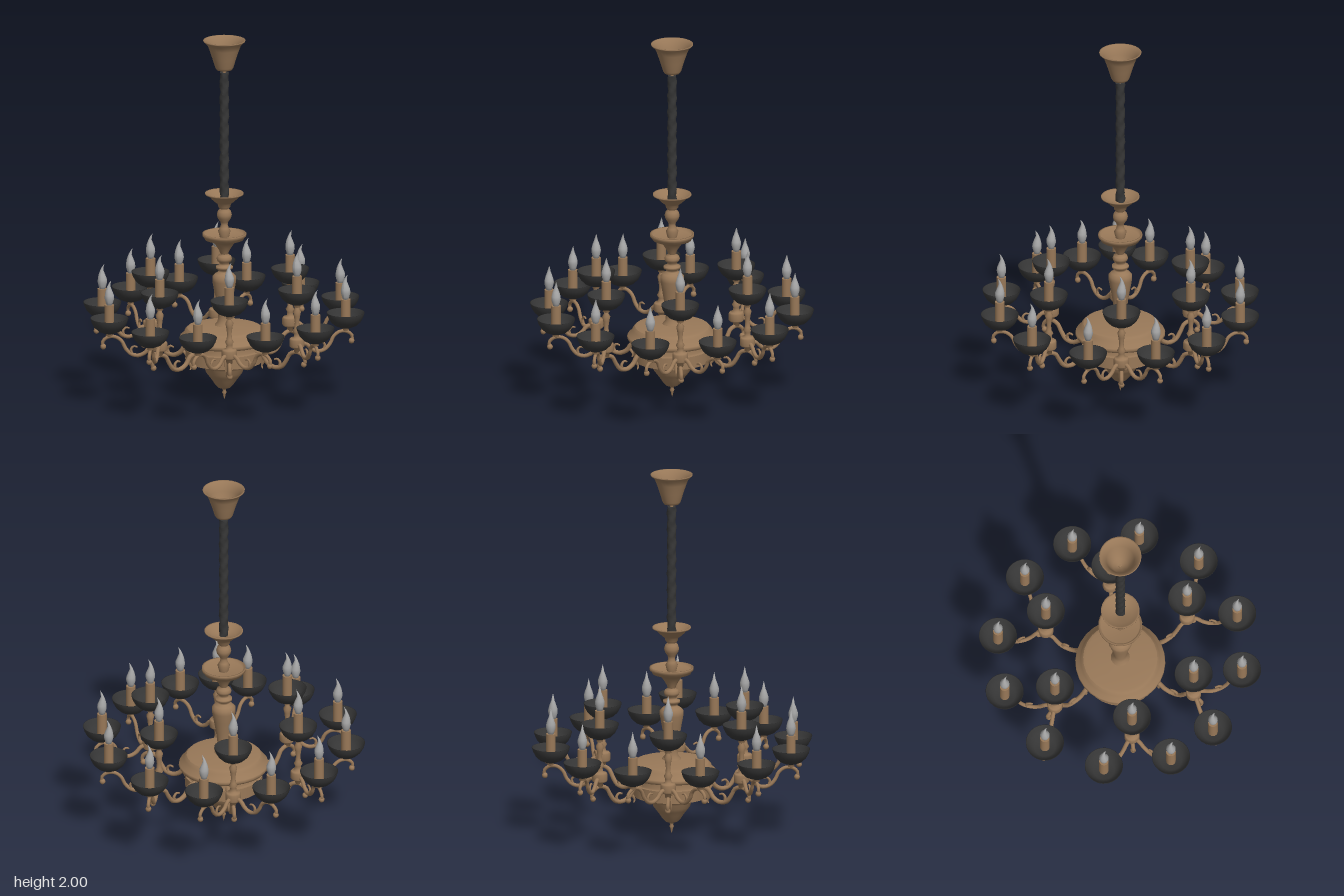
import * as THREE from 'three';

const bronze = new THREE.MeshStandardMaterial({ color: 0x987858, side: THREE.DoubleSide });
bronze.name = 'bronze';
const black = new THREE.MeshStandardMaterial({ color: 0x363636, side: THREE.DoubleSide });
black.name = 'black';
const glass = new THREE.MeshStandardMaterial({ color: 0xa6a6a6 });
glass.name = 'bulb glass';

function add(parent, name, geometry, material, x = 0, y = 0, z = 0) {
  const m = new THREE.Mesh(geometry, material);
  m.name = name;
  m.position.set(x, y, z);
  parent.add(m);
  return m;
}

// Turned part from [radius, height] pairs, listed bottom to top
const turned = (pts, sides = 20) =>
  new THREE.LatheGeometry(pts.map(p => new THREE.Vector2(p[0], p[1])), sides);

// Curved rod in the XY plane, thinning towards its end
function rod(pts, radius, endScale = 1) {
  const curve = new THREE.CatmullRomCurve3(pts.map(p => new THREE.Vector3(p[0], p[1], 0)));
  const n = 24, k = 8;
  const g = new THREE.TubeGeometry(curve, n, radius, k);
  const pos = g.attributes.position, v = new THREE.Vector3();
  for (let i = 0; i < pos.count; i++) {
    const t = Math.floor(i / (k + 1)) / n;
    const c = curve.getPointAt(t);
    v.fromBufferAttribute(pos, i).sub(c).multiplyScalar(1 + (endScale - 1) * t).add(c);
    pos.setXYZ(i, v.x, v.y, v.z);
  }
  return g;
}

// Flame bulb with a bent tip
function bulbGeometry() {
  const g = turned([[0, 0], [0.014, 0.001], [0.02, 0.018], [0.026, 0.04], [0.025, 0.058], [0.018, 0.082],
    [0.009, 0.106], [0.005, 0.125], [0, 0.143]], 14);
  const p = g.attributes.position;
  for (let i = 0; i < p.count; i++) {
    const t = Math.max(0, p.getY(i) - 0.07) / 0.073;
    p.setX(i, p.getX(i) + 0.012 * t * t - 0.006 * Math.sin(t * Math.PI));
  }
  g.computeVertexNormals();
  return g;
}

const cupGeo = turned([[0, 0], [0.035, 0.001], [0.06, 0.012], [0.083, 0.034], [0.096, 0.058], [0.103, 0.082],
  [0.1, 0.082], [0.092, 0.06], [0.078, 0.038], [0.057, 0.019], [0, 0.009]], 24);
const candleGeo = new THREE.CylinderGeometry(0.026, 0.026, 0.148, 16);
const neckGeo = turned([[0.01, -0.02], [0.02, -0.014], [0.013, -0.007], [0.03, 0.002]], 12);
const bulbGeo = bulbGeometry();

// Cup, candle and bulb; origin under the cup
function candleLight(parent, x, y, z, turn) {
  const g = new THREE.Group();
  g.name = 'candleLight';
  g.position.set(x, y, z);
  add(g, 'cupNeck', neckGeo, bronze);
  add(g, 'dripCup', cupGeo, black);
  add(g, 'candle', candleGeo, bronze, 0, 0.082, 0);
  add(g, 'flameBulb', bulbGeo, glass, 0, 0.152, 0).rotation.y = turn;
  parent.add(g);
}

const REACH = 0.437;
const mainArmGeo = rod([[0.18, 0.29], [0.23, 0.275], [0.26, 0.235], [0.3, 0.215], [0.345, 0.225], [0.375, 0.265],
  [0.395, 0.3], [0.435, 0.315], [0.47, 0.3], [0.487, 0.27], [0.478, 0.25]], 0.014, 0.75);
const mainCurlGeo = rod([[0.33, 0.22], [0.335, 0.245], [0.32, 0.262], [0.3, 0.258]], 0.01, 0.5);
const tailCurlGeo = rod([[0.25, 0.25], [0.235, 0.235], [0.225, 0.215], [0.23, 0.2]], 0.01, 0.4);
const branchGeo = rod([[0.02, 0.365], [0.055, 0.355], [0.08, 0.328], [0.115, 0.312], [0.155, 0.32], [0.185, 0.35],
  [0.205, 0.39], [0.24, 0.413], [0.28, 0.41], [0.308, 0.385], [0.307, 0.355]], 0.012, 0.75);
const branchCurlGeo = rod([[0.15, 0.318], [0.155, 0.345], [0.14, 0.362], [0.12, 0.358]], 0.009, 0.5);
const beadGeo = new THREE.SphereGeometry(0.016, 10, 8);
const hubGeo = turned([[0, 0.305], [0.016, 0.315], [0.018, 0.335], [0.036, 0.342], [0.042, 0.35], [0.042, 0.385],
  [0.036, 0.393], [0.018, 0.398], [0.016, 0.42], [0.024, 0.435], [0.015, 0.45], [0.012, 0.48], [0.017, 0.515],
  [0.022, 0.54], [0.013, 0.555], [0.012, 0.575]], 14);

function armUnit(angle) {
  const arm = new THREE.Group();
  arm.name = 'arm';
  add(arm, 'mainScroll', mainArmGeo, bronze);
  add(arm, 'mainScrollCurl', mainCurlGeo, bronze);
  add(arm, 'rootCurl', tailCurlGeo, bronze);
  add(arm, 'scrollEnd', beadGeo, bronze, 0.478, 0.25, 0);
  add(arm, 'hubStem', hubGeo, bronze, REACH, 0, 0);
  candleLight(arm, REACH, 0.582, 0, angle);
  // Two forked branches, each carrying a light
  for (const side of [-1, 1]) {
    const a = side * 0.735;
    const branch = new THREE.Group();
    branch.name = 'branch';
    branch.position.x = REACH;
    branch.rotation.y = a;
    add(branch, 'branchScroll', branchGeo, bronze);
    add(branch, 'branchCurl', branchCurlGeo, bronze);
    add(branch, 'branchEnd', beadGeo, bronze, 0.305, 0.357, 0);
    candleLight(branch, 0.272, 0.434, 0, angle - a);
    arm.add(branch);
  }
  arm.rotation.y = -angle;
  return arm;
}

export function createModel() {
  const model = new THREE.Group();
  model.name = 'chandelier';

  // Ceiling cup, open at the top
  add(model, 'canopy', turned([[0, 1.836], [0.042, 1.836], [0.05, 1.85], [0.065, 1.9], [0.082, 1.95],
    [0.092, 1.975], [0.113, 1.994], [0.114, 2], [0.107, 2], [0.088, 1.978], [0.076, 1.95], [0.04, 1.85], [0, 1.845]],
  28), bronze);
  add(model, 'canopyRod', new THREE.CylinderGeometry(0.009, 0.009, 0.06, 10), bronze, 0, 1.825, 0);

  // Gathered cloth sleeve over the chain
  const sleeve = new THREE.CylinderGeometry(0.024, 0.024, 0.7, 14, 60);
  const p = sleeve.attributes.position;
  for (let i = 0; i < p.count; i++) {
    const x = p.getX(i), y = p.getY(i), z = p.getZ(i), a = Math.atan2(z, x);
    const s = 1 + 0.09 * Math.sin(y * 75 + 2 * a) + 0.07 * Math.sin(y * 131 - 3 * a);
    p.setXYZ(i, x * s, y, z * s);
  }
  sleeve.computeVertexNormals();
  add(model, 'chainSleeve', sleeve, black, 0, 1.47, 0);

  // Upper column: cup, ball, dish and vase
  add(model, 'topCup', turned([[0.022, 1.06], [0.034, 1.075], [0.036, 1.09], [0.05, 1.1], [0.07, 1.118],
    [0.085, 1.135], [0.104, 1.143], [0.104, 1.15], [0.095, 1.149], [0.065, 1.125], [0, 1.105]], 24), bronze);
  add(model, 'columnBall', turned([[0.024, 0.9], [0.034, 0.94], [0.024, 0.955], [0.018, 0.975], [0.022, 0.99],
    [0.036, 1.01], [0.041, 1.03], [0.035, 1.05], [0.022, 1.065], [0.022, 1.08]]), bronze);
  add(model, 'columnDish', turned([[0.02, 0.81], [0.028, 0.83], [0.04, 0.85], [0.055, 0.872], [0.08, 0.886],
    [0.105, 0.893], [0.108, 0.905], [0.119, 0.912], [0.119, 0.926], [0.11, 0.926], [0.104, 0.91], [0, 0.903]],
  24), bronze);
  add(model, 'columnVase', turned([[0.055, 0.4], [0.05, 0.42], [0.036, 0.435], [0.034, 0.47], [0.043, 0.54],
    [0.055, 0.61], [0.064, 0.66], [0.064, 0.685], [0.05, 0.7], [0.032, 0.712], [0.03, 0.722], [0.046, 0.73],
    [0.046, 0.742], [0.026, 0.75], [0.026, 0.762], [0.038, 0.772], [0.042, 0.785], [0.036, 0.8], [0.02, 0.81],
    [0.02, 0.83]]), bronze);

  // Body, stacked in sharp-edged sections
  add(model, 'bodyDome', turned([[0.2, 0.4], [0.185, 0.405], [0.12, 0.411], [0, 0.418]], 28), bronze);
  add(model, 'bodyRim', turned([[0.19, 0.322], [0.236, 0.328], [0.243, 0.34], [0.24, 0.352], [0.222, 0.365],
    [0.214, 0.385], [0.2, 0.4]], 28), bronze);
  add(model, 'bodyWaist', turned([[0.2, 0.282], [0.19, 0.29], [0.19, 0.322]], 28), bronze);
  add(model, 'bodyBand', new THREE.CylinderGeometry(0.208, 0.208, 0.066, 28), bronze, 0, 0.251, 0);
  add(model, 'bodyBottom', turned([[0.034, 0.068], [0.05, 0.085], [0.066, 0.11], [0.085, 0.135], [0.1, 0.155],
    [0.108, 0.18], [0.118, 0.195], [0.15, 0.205], [0.185, 0.215], [0.2, 0.222]], 28), bronze);
  add(model, 'finial', turned([[0, 0], [0.005, 0.015], [0.008, 0.03], [0.013, 0.04], [0.008, 0.05],
    [0.012, 0.06], [0.034, 0.068]], 14), bronze);

  // Six arms around the body
  for (const deg of [2, 62, 118.3, 180.2, 240, 299.6]) model.add(armUnit(THREE.MathUtils.degToRad(deg)));
  return model;
}
